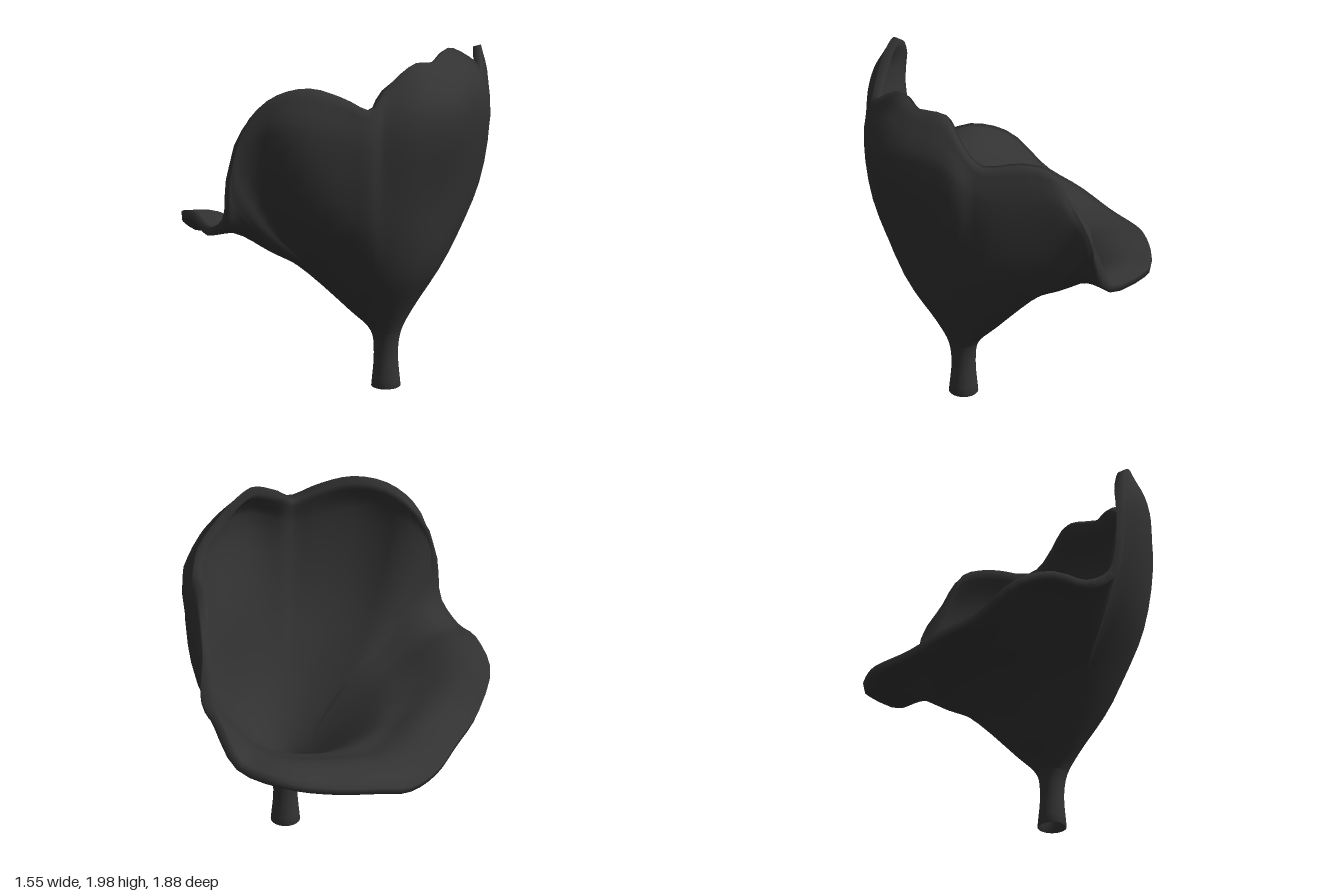
import * as THREE from 'three';

const AXIS = 0.255; // x of the stem centre
const COLUMNS = 96, ROWS = 28, STEM_ROWS = 8;

// Rim of the bloom, from the back (+x) round through +z, the low lip (-x) and -z
const RIM = [
  [0.60, 1.97, 0], [0.58, 1.99, 0.13], [0.54, 1.90, 0.29], [0.54, 1.79, 0.43],
  [0.42, 1.86, 0.53], [0.27, 1.91, 0.64], [0.12, 1.86, 0.76], [0.0, 1.70, 0.86],
  [-0.05, 1.40, 0.935], [-0.10, 1.10, 0.92], [-0.27, 0.985, 0.87], [-0.46, 1.01, 0.79],
  [-0.62, 0.94, 0.69], [-0.69, 0.80, 0.47], [-0.74, 0.76, 0.22], [-0.77, 0.71, 0],
  [-0.76, 0.72, -0.24], [-0.68, 0.77, -0.41], [-0.53, 0.83, -0.64], [-0.35, 0.90, -0.83],
  [-0.06, 0.93, -0.87], [0.07, 1.19, -0.91], [0.13, 1.37, -0.94], [0.19, 1.60, -0.84],
  [0.27, 1.78, -0.76], [0.38, 1.81, -0.64], [0.53, 1.78, -0.47], [0.57, 1.88, -0.36],
  [0.55, 1.99, -0.19], [0.58, 1.98, -0.08],
].map((p) => new THREE.Vector3(...p));

// Curve from the foot of the stem up to one rim point
function meridian(rim) {
  const { smoothstep, lerp } = THREE.MathUtils;
  const angle = Math.atan2(rim.z, rim.x - AXIS);
  const c = Math.cos(angle), s = Math.sin(angle);
  const front = Math.max(0, -c);
  const at = (r, y) => new THREE.Vector3(AXIS + r * c, y, r * s);
  // tall petals bulge outwards below a rim that leans in, the low lip flares out
  const bulgeR = Math.hypot(rim.x - AXIS, rim.z) - 0.15 - 0.06 * front
    + 0.2 * smoothstep(rim.y, 0.7, 1.8) + 0.12 * smoothstep(rim.y, 1.8, 2);
  const bulgeY = rim.y - (rim.y - 0.8) * 0.25 + 0.045;
  const coneR = 0.42 - 0.12 * c, coneY = 0.76 - 0.035 * front;
  // the two side petals are rounder than the back
  const round = 0.12 * Math.max(0, rim.y - 1) * s * s;
  return new THREE.CatmullRomCurve3([
    at(0.08, 0.01),
    at(0.066, 0.2),
    at(0.084, 0.33),
    at(0.18 - 0.04 * c, 0.46),
    at(coneR, coneY),
    at(lerp(coneR, bulgeR, 0.45) + round, lerp(coneY, bulgeY, 0.45)),
    at(bulgeR, bulgeY),
    rim,
  ]);
}

// Closed rings of points joined into one smooth surface
function joinRings(rings) {
  const index = [];
  for (let row = 0; row < rings.length - 1; row++) {
    for (let i = 0; i < COLUMNS; i++) {
      const next = (i + 1) % COLUMNS;
      const a = row * COLUMNS + i, b = row * COLUMNS + next;
      index.push(a, a + COLUMNS, b, b, a + COLUMNS, b + COLUMNS);
    }
  }
  const geometry = new THREE.BufferGeometry().setFromPoints(rings.flat());
  geometry.setIndex(index);
  geometry.computeVertexNormals();
  return geometry;
}

export function createModel() {
  const group = new THREE.Group();
  group.name = 'flower';
  const material = new THREE.MeshStandardMaterial({ color: 0x333333, side: THREE.DoubleSide });

  // outer skin
  const rimCurve = new THREE.CatmullRomCurve3(RIM, true);
  const curves = Array.from({ length: COLUMNS }, (_, i) => meridian(rimCurve.getPoint(i / COLUMNS)));
  const outer = Array.from({ length: ROWS + 1 }, (_, row) => curves.map((k) => k.getPoint(row / ROWS)));

  // inner skin, thin in the stem and thicker towards the rim
  const normals = joinRings(outer).getAttribute('normal');
  const inner = outer.map((ring, row) => ring.map((p, i) => {
    const normal = new THREE.Vector3().fromBufferAttribute(normals, row * COLUMNS + i);
    return p.clone().addScaledVector(normal, -0.012 - 0.034 * row / ROWS);
  }));

  const add = (name, rings) => {
    const mesh = new THREE.Mesh(joinRings(rings), material);
    mesh.name = name;
    group.add(mesh);
  };
  // hollow stem: down the inside, up the outside
  add('stem', [...inner.slice(0, STEM_ROWS + 1).reverse(), ...outer.slice(0, STEM_ROWS + 1)]);
  // wavy cup: up the outside, over the rim, down the inside
  add('bloom', [...outer.slice(STEM_ROWS), ...inner.slice(STEM_ROWS).reverse()]);
  return group;
}
